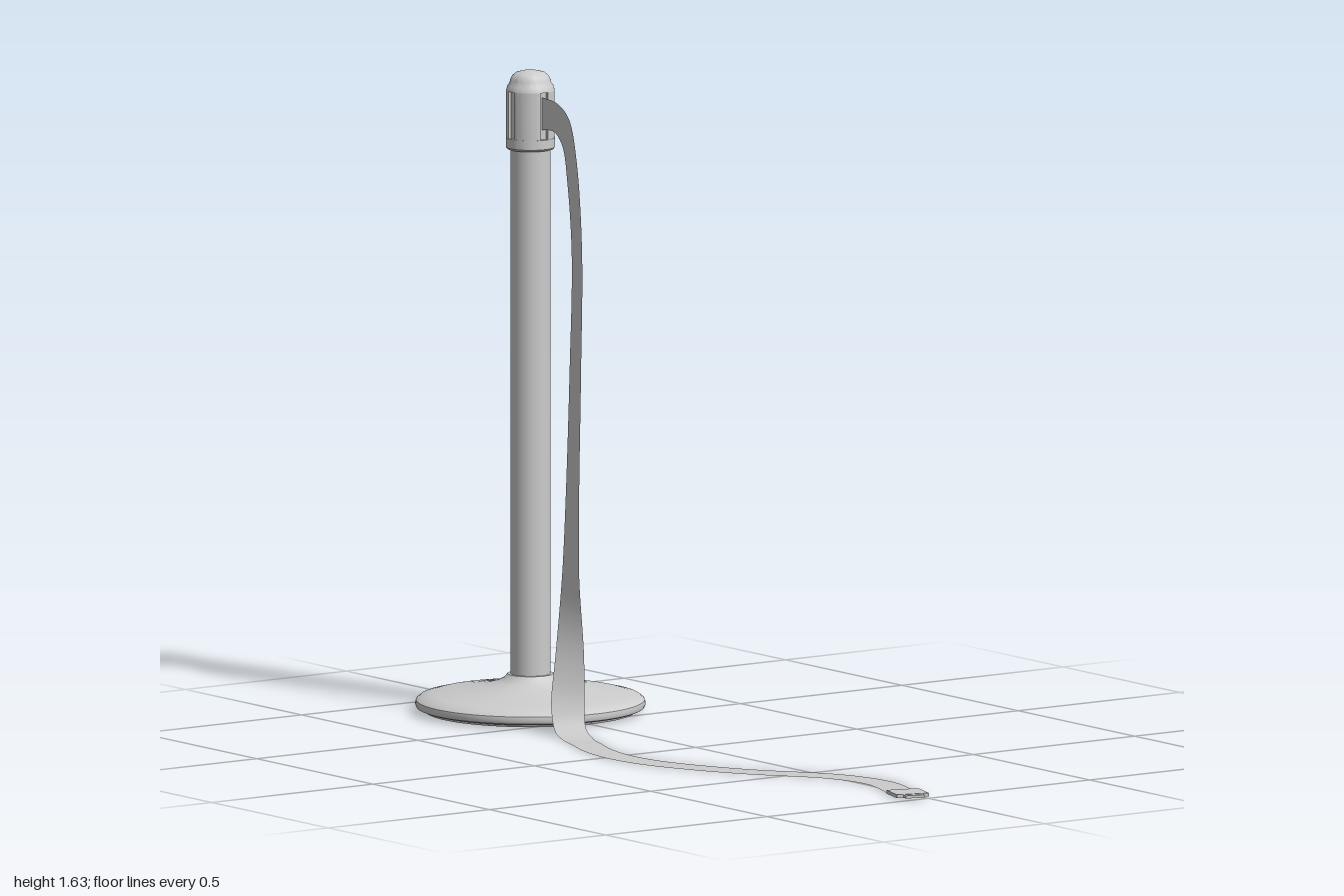
import * as THREE from 'three';
import { toCreasedNormals } from 'three/addons/utils/BufferGeometryUtils.js';

const POST_X = -0.71;
const V = (x, y, z) => new THREE.Vector3(x, y, z);

// Surface of revolution with rounded areas smooth and corners sharp
function lathe(points, segments = 64) {
  const g = new THREE.LatheGeometry(points.map(([r, y]) => new THREE.Vector2(r, y)), segments);
  return toCreasedNormals(g, 0.6);
}

// Circle outline with four narrow notches, extruded upwards
function notchedRing(radius, notchHalf, depth, height) {
  const shape = new THREE.Shape();
  const a = Math.asin(notchHalf / radius);
  for (let i = 0; i < 4; i++) {
    const mid = i * Math.PI / 2;
    const c = Math.cos(mid), s = Math.sin(mid);
    const floor = radius - depth;
    for (const side of [-1, 1]) {
      const x = floor * c - side * notchHalf * s;
      const y = floor * s + side * notchHalf * c;
      if (i === 0 && side === -1) shape.moveTo(x, y);
      else shape.lineTo(x, y);
    }
    for (let k = 0; k <= 12; k++) {
      const t = mid + a + (Math.PI / 2 - 2 * a) * k / 12;
      shape.lineTo(radius * Math.cos(t), radius * Math.sin(t));
    }
  }
  shape.closePath();
  const g = new THREE.ExtrudeGeometry(shape, { depth: height, bevelEnabled: false });
  g.rotateX(-Math.PI / 2);
  return toCreasedNormals(g, 0.5);
}

// Strip joining two edge curves
function ribbon(inner, outer, segments) {
  const a = new THREE.CatmullRomCurve3(inner), b = new THREE.CatmullRomCurve3(outer);
  const pos = [], index = [];
  for (let i = 0; i <= segments; i++) {
    const p = a.getPoint(i / segments), q = b.getPoint(i / segments);
    pos.push(p.x, p.y, p.z, q.x, q.y, q.z);
    if (i < segments) {
      const k = i * 2;
      index.push(k, k + 2, k + 1, k + 1, k + 2, k + 3);
    }
  }
  const g = new THREE.BufferGeometry();
  g.setAttribute('position', new THREE.Float32BufferAttribute(pos, 3));
  g.setIndex(index);
  g.computeVertexNormals();
  return g;
}

export function createModel() {
  const model = new THREE.Group();
  model.name = 'beltBarrier';
  const grey = new THREE.MeshStandardMaterial({ color: 0xcccccc });
  grey.name = 'lightGrey';
  const beltGrey = grey.clone();
  beltGrey.side = THREE.DoubleSide;

  const add = (name, geometry, parent, material = grey) => {
    const mesh = new THREE.Mesh(geometry, material);
    mesh.name = name;
    parent.add(mesh);
    return mesh;
  };

  // Stand: weighted base, tube and belt head
  const stand = new THREE.Group();
  stand.name = 'stand';
  stand.position.x = POST_X;
  model.add(stand);
  add('foot', lathe([[0, 0.005], [0.265, 0.005], [0.27, 0.016]]), stand);
  add('base', lathe([[0, 0.012], [0.278, 0.012], [0.287, 0.016], [0.29, 0.024], [0.288, 0.034],
    [0.278, 0.042], [0.25, 0.049], [0.19, 0.058], [0.12, 0.07], [0.085, 0.08],
    [0.066, 0.09], [0.058, 0.1], [0, 0.1]]), stand);
  add('post', new THREE.CylinderGeometry(0.05, 0.05, 1.36, 48), stand).position.y = 0.77;
  add('headCollar', lathe([[0, 1.436], [0.058, 1.436], [0.062, 1.441], [0.062, 1.465], [0, 1.465]]), stand);
  add('headSlots', notchedRing(0.061, 0.012, 0.01, 0.12), stand).position.y = 1.465;
  add('headCap', lathe([[0, 1.585], [0.061, 1.585], [0.058, 1.597], [0.053, 1.603], [0.051, 1.612],
    [0.046, 1.622], [0.036, 1.63], [0.02, 1.634], [0, 1.635]]), stand);

  // Hanging part of the belt: inner and outer edge, top to floor
  const hang = [
    [-0.66, 1.49, 0, -0.66, 1.572, 0],
    [-0.6, 1.492, 0.005, -0.59, 1.567, 0.005],
    [-0.55, 1.46, 0.015, -0.52, 1.535, 0.017],
    [-0.51, 1.38, 0.03, -0.456, 1.44, 0.04],
    [-0.47, 1.2, 0.045, -0.405, 1.22, 0.06],
    [-0.445, 0.9, 0.07, -0.375, 0.9, 0.085],
    [-0.433, 0.6, 0.09, -0.362, 0.6, 0.1],
    [-0.425, 0.4, 0.107, -0.352, 0.4, 0.107],
    [-0.405, 0.2, 0.142, -0.345, 0.2, 0.097],
    [-0.385, 0.08, 0.17, -0.335, 0.08, 0.103],
    [-0.355, 0.02, 0.182, -0.31, 0.025, 0.117],
    [-0.3, 0.005, 0.2, -0.255, 0.006, 0.135],
  ];
  const inner = hang.map(r => V(r[0], r[1], r[2]));
  const outer = hang.map(r => V(r[3], r[4], r[5]));

  // Belt lying on the floor, offset both ways from a centre line
  const floorPath = new THREE.CatmullRomCurve3([[-0.28, 0.166], [-0.2, 0.195], [-0.1, 0.23],
    [0.02, 0.248], [0.15, 0.233], [0.3, 0.175], [0.42, 0.108], [0.55, 0.01], [0.64, -0.028],
    [0.72, -0.041], [0.8, -0.027], [0.92, 0.015]].map(([x, z]) => V(x, 0.004, z)));
  for (let i = 1; i <= 14; i++) {
    const p = floorPath.getPointAt(i / 14), t = floorPath.getTangentAt(i / 14);
    const side = V(-t.z, 0, t.x).normalize().multiplyScalar(0.038);
    inner.push(p.clone().add(side));
    outer.push(p.clone().sub(side));
  }
  add('belt', ribbon(inner, outer, 200), model, beltGrey);

  // End clip with its tongue
  const clip = new THREE.Group();
  clip.name = 'endClip';
  clip.position.set(0.939, 0.01, 0.02);
  clip.rotation.y = -0.29;
  model.add(clip);
  add('clipBody', new THREE.BoxGeometry(0.08, 0.009, 0.085), clip);
  add('clipTongue', new THREE.BoxGeometry(0.024, 0.007, 0.05), clip).position.x = 0.046;
  return model;
}
